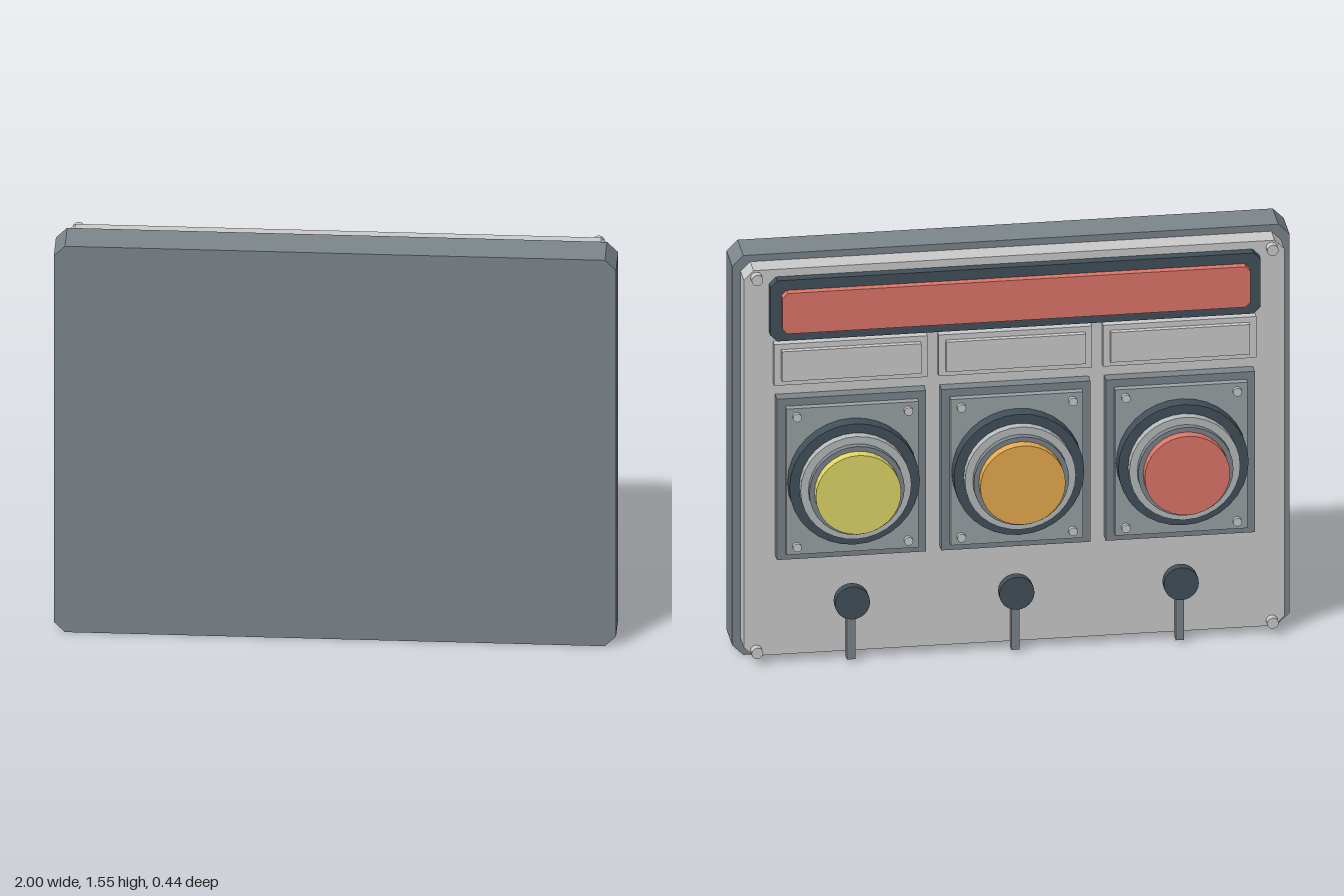
import * as THREE from 'three';

const mat = (color) => new THREE.MeshStandardMaterial({ color, flatShading: true });
const M = {
  panel: mat(0xcccccc), casing: mat(0x7c868c), plate: mat(0x9ba3a6), dark: mat(0x42505a),
  ring: mat(0xb8bcbe), red: mat(0xe0766a), orange: mat(0xe8ac50), yellow: mat(0xe0d868),
};

function add(parent, name, geometry, material, x, y, z) {
  const mesh = new THREE.Mesh(geometry, material);
  mesh.name = name;
  mesh.position.set(x, y, z);
  parent.add(mesh);
  return mesh;
}

// Rectangular slab with chamfered corners, spanning zBack down to zFace
function slab(parent, name, w, h, chamfer, zBack, zFace, material, x, y) {
  const a = w / 2, b = h / 2, c = chamfer;
  const points = c > 0
    ? [[-a + c, -b], [a - c, -b], [a, -b + c], [a, b - c], [a - c, b], [-a + c, b], [-a, b - c], [-a, -b + c]]
    : [[-a, -b], [a, -b], [a, b], [-a, b]];
  const shape = new THREE.Shape(points.map((p) => new THREE.Vector2(...p)));
  const geometry = new THREE.ExtrudeGeometry(shape, { depth: zBack - zFace, bevelEnabled: false });
  return add(parent, name, geometry, material, x, y, zFace);
}

// Cylinder lying along z
function disc(parent, name, r, zBack, zFace, material, x, y, sides = 32) {
  const geometry = new THREE.CylinderGeometry(r, r, zBack - zFace, sides).rotateX(Math.PI / 2);
  return add(parent, name, geometry, material, x, y, (zBack + zFace) / 2);
}

export function createModel() {
  const model = new THREE.Group();
  model.name = 'controlPanel';

  // Casing and face panel; the controls point towards -z
  slab(model, 'casing', 2, 1.55, 0.04, 0.22, 0.08, M.casing, 0, 0.775);
  slab(model, 'facePanel', 1.94, 1.495, 0.035, 0.08, 0, M.panel, 0, 0.777);

  // Corner screws of the face panel
  for (const x of [-0.925, 0.925]) {
    for (const y of [0.05, 1.497]) disc(model, 'panelScrew', 0.021, 0, -0.028, M.panel, x, y, 12);
  }

  // Long indicator lamp
  slab(model, 'lampFrame', 1.76, 0.235, 0.025, 0, -0.036, M.dark, 0, 1.378);
  slab(model, 'lampLens', 1.68, 0.157, 0.018, -0.036, -0.064, M.red, 0, 1.378);

  // Three identical stations: label, push button and key lever
  const cy = 0.728;
  [[-0.59, M.red], [0, M.orange], [0.59, M.yellow]].forEach(([x, capMaterial]) => {
    const station = new THREE.Group();
    station.name = 'buttonStation';
    station.position.x = x;
    model.add(station);

    slab(station, 'labelFrame', 0.55, 0.16, 0, 0, -0.03, M.panel, 0, 1.166);
    slab(station, 'labelInsert', 0.5, 0.116, 0, -0.03, -0.05, M.panel, 0, 1.167);

    slab(station, 'buttonBase', 0.535, 0.624, 0, 0, -0.045, M.casing, 0, cy);
    slab(station, 'buttonPlate', 0.475, 0.566, 0, -0.045, -0.071, M.plate, 0, cy);
    for (const sx of [-1, 1]) {
      for (const sy of [-1, 1]) {
        disc(station, 'plateScrew', 0.016, -0.071, -0.086, M.panel, sx * 0.2, cy + sy * 0.252, 12);
      }
    }

    disc(station, 'outerCollar', 0.234, -0.071, -0.124, M.dark, 0, cy);
    disc(station, 'lightCollar', 0.199, -0.124, -0.157, M.ring, 0, cy);
    disc(station, 'innerCollar', 0.171, -0.157, -0.182, M.casing, 0, cy);
    disc(station, 'buttonCap', 0.153, -0.182, -0.22, capMaterial, 0, cy);

    slab(station, 'leverStem', 0.03, 0.2, 0, -0.006, -0.036, M.casing, 0, 0.11);
    disc(station, 'leverKnob', 0.063, -0.036, -0.071, M.dark, 0, 0.243, 24);
  });

  return model;
}
